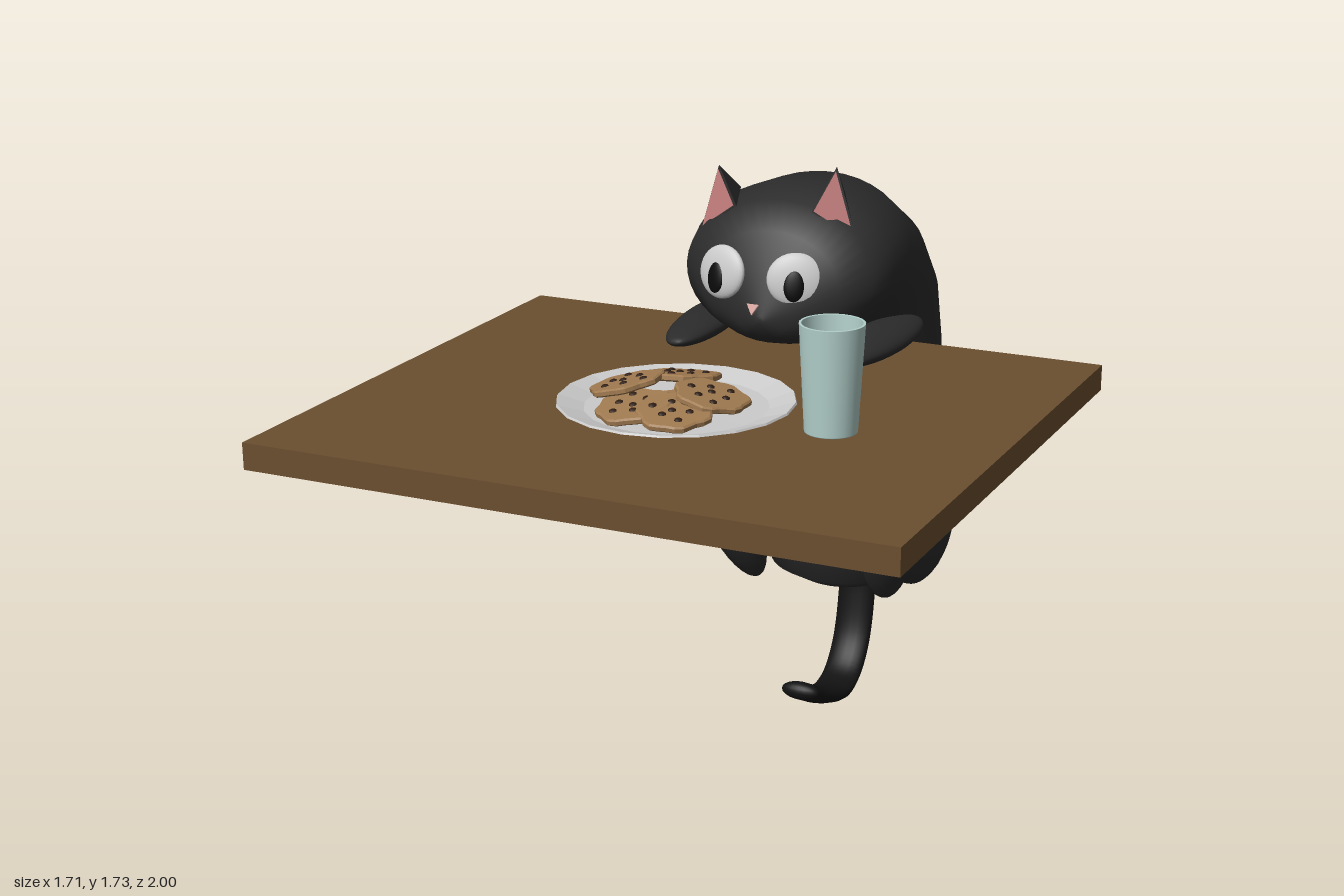
import * as THREE from 'three';

const mat = (color, extra = {}) => new THREE.MeshStandardMaterial({ color, ...extra });
const V = (x, y, z) => new THREE.Vector3(x, y, z);

const fur = mat(0x2b2b2b), tailFur = mat(0x121212), wood = mat(0x6b4f30), black = mat(0x0a0a0a);
const white = mat(0xd0d0d0), pink = mat(0xc07a7a, { side: THREE.DoubleSide }), nosePink = mat(0xdca6a0);
const china = mat(0xcccccc, { flatShading: true, side: THREE.DoubleSide });
const glassMat = mat(0xb3d0cb, { side: THREE.DoubleSide });
const dough = mat(0xa07a50, { flatShading: true }), chocolate = mat(0x2e1c12);

function add(parent, name, geometry, material, pos) {
  const m = new THREE.Mesh(geometry, material);
  m.name = name;
  if (pos) m.position.copy(pos);
  parent.add(m);
  return m;
}

// Ellipsoid stretched between two points
function spindle(parent, name, a, b, rx, rz, material = fur) {
  const m = add(parent, name, new THREE.SphereGeometry(1, 28, 18), material, a.clone().add(b).multiplyScalar(0.5));
  const d = b.clone().sub(a);
  m.scale.set(rx, d.length() / 2, rz);
  m.quaternion.setFromUnitVectors(V(0, 1, 0), d.normalize());
  return m;
}

// Loft of elliptical rings: [back z, back y, front z, front y, half width]
function loft(rings, cx, sides = 40) {
  const pos = [], idx = [];
  rings.forEach(([bz, by, fz, fy, w], i) => {
    for (let j = 0; j < sides; j++) {
      const a = (j / sides) * Math.PI * 2, c = Math.cos(a) / 2;
      pos.push(cx + w * Math.sin(a), (by + fy) / 2 + (fy - by) * c, (bz + fz) / 2 + (fz - bz) * c);
      if (i === rings.length - 1) continue;
      const k = (j + 1) % sides, p = i * sides, q = p + sides;
      idx.push(p + j, p + k, q + j, p + k, q + k, q + j);
    }
  });
  const g = new THREE.BufferGeometry();
  g.setAttribute('position', new THREE.Float32BufferAttribute(pos, 3));
  g.setIndex(idx);
  g.computeVertexNormals();
  return g;
}

function triangles(...corners) {
  const g = new THREE.BufferGeometry().setFromPoints(corners);
  g.computeVertexNormals();
  return g;
}

// Pyramid ear with an inset pink front
function ear(parent, name, outer, inner, back, tip) {
  const g = new THREE.Group();
  g.name = name;
  parent.add(g);
  const shell = mat(0x2b2b2b, { side: THREE.DoubleSide });
  add(g, 'earShell', triangles(outer, inner, tip, inner, back, tip, back, outer, tip), shell);
  const mid = outer.clone().add(inner).add(tip).divideScalar(3);
  const inset = [outer, inner, tip].map(p => p.clone().lerp(mid, 0.12).add(V(0, 0.002, 0.006)));
  add(g, 'innerEar', triangles(...inset), pink);
}

function createCat() {
  const cat = new THREE.Group();
  cat.name = 'cat';

  // Body and head, from rump to muzzle
  add(cat, 'body', loft([
    [-0.761, 0.385, -0.759, 0.385, 0.001], [-0.87, 0.4, -0.66, 0.39, 0.13],
    [-0.95, 0.46, -0.59, 0.43, 0.22], [-0.985, 0.6, -0.55, 0.58, 0.275],
    [-0.998, 0.8, -0.555, 0.8, 0.29], [-0.995, 1.0, -0.555, 0.97, 0.29],
    [-0.985, 1.17, -0.515, 1.1, 0.29], [-0.92, 1.39, -0.5, 1.2, 0.29],
    [-0.8, 1.55, -0.42, 1.235, 0.29], [-0.62, 1.65, -0.36, 1.245, 0.295],
    [-0.42, 1.665, -0.31, 1.25, 0.3], [-0.3, 1.635, -0.25, 1.25, 0.275],
    [-0.235, 1.565, -0.2, 1.265, 0.2], [-0.185, 1.46, -0.16, 1.29, 0.09],
    [-0.15, 1.35, -0.148, 1.33, 0.01], [-0.149, 1.341, -0.149, 1.339, 0.0005],
  ], 0.008), fur);

  // Ears
  ear(cat, 'rightEar', V(-0.235, 1.53, -0.3), V(-0.12, 1.61, -0.28), V(-0.17, 1.63, -0.42), V(-0.19, 1.71, -0.32));
  ear(cat, 'leftEar', V(0.22, 1.54, -0.31), V(0.1, 1.615, -0.28), V(0.14, 1.64, -0.42), V(0.155, 1.735, -0.32));

  // Eyes: flattened discs turned outward, each with a pupil
  for (const [side, x] of [[-1, -0.125], [1, 0.092]]) {
    const eye = new THREE.Group();
    eye.name = side < 0 ? 'rightEye' : 'leftEye';
    eye.position.set(x, 1.447, -0.2);
    eye.rotation.set(-0.2, side * 0.35, 0);
    cat.add(eye);
    add(eye, 'eyeball', new THREE.SphereGeometry(1, 28, 16), white).scale.set(0.08, 0.073, 0.024);
    add(eye, 'pupil', new THREE.SphereGeometry(1, 20, 12), black, V(-0.004, -0.016, 0.02)).scale.set(0.028, 0.042, 0.009);
  }

  // Nose: small triangle pointing down
  const nose = add(cat, 'nose', new THREE.CylinderGeometry(0.02, 0.02, 0.02, 3), nosePink, V(-0.015, 1.368, -0.16));
  nose.rotation.set(Math.PI / 2 - 0.3, 0, 0);

  // Limbs
  for (const s of [-1, 1]) {
    const side = s < 0 ? 'right' : 'left';
    spindle(cat, side + 'Arm', V(s * 0.235, 1.25, -0.13), V(s * 0.275, 1.255, -0.63), 0.078, 0.036);
    spindle(cat, side + 'Haunch', V(s * 0.255, 0.42, -0.75), V(s * 0.265, 0.82, -0.735), 0.085, 0.2);
    spindle(cat, side + 'Foot', V(s * 0.2, 0.41, -0.605), V(s * 0.305, 0.895, -0.4), 0.085, 0.06);
  }

  // Tail: flattened tube curling forward
  const tail = new THREE.Group();
  tail.name = 'tail';
  tail.scale.x = 2.2;
  cat.add(tail);
  const path = new THREE.CatmullRomCurve3([[0.6, -0.935], [0.45, -0.925], [0.28, -0.912], [0.13, -0.87],
    [0.05, -0.8], [0.027, -0.72], [0.06, -0.6], [0.122, -0.475]].map(([y, z]) => V(0, y, z)));
  add(tail, 'tailTube', new THREE.TubeGeometry(path, 48, 0.027, 16), tailFur);
  add(tail, 'tailTip', new THREE.SphereGeometry(0.027, 16, 12), tailFur, V(0, 0.122, -0.475));
  return cat;
}

// Cookie with a wavy edge and chocolate chips
function cookie(parent, x, y, z, tiltX, tiltZ, turn) {
  const g = new THREE.Group();
  g.name = 'cookie';
  const outline = [];
  for (let i = 0; i < 28; i++) {
    const a = (i / 28) * Math.PI * 2, r = 0.09 + 0.005 * Math.sin(a * 7 + turn) + 0.003 * Math.sin(a * 3);
    outline.push(new THREE.Vector2(r * Math.cos(a), r * Math.sin(a)));
  }
  const disc = new THREE.ExtrudeGeometry(new THREE.Shape(outline), { depth: 0.01, bevelSize: 0.005, bevelThickness: 0.004, bevelSegments: 1 });
  disc.rotateX(-Math.PI / 2);
  add(g, 'biscuit', disc, dough);
  for (let i = 0; i < 7; i++) {
    const a = turn + i * 1.05, r = i === 6 ? 0.008 : i % 2 ? 0.058 : 0.04;
    add(g, 'chip', new THREE.SphereGeometry(0.011, 8, 6), chocolate, V(r * Math.cos(a), 0.013, r * Math.sin(a))).scale.y = 0.6;
  }
  g.position.set(x, y, z);
  g.rotation.set(tiltX, 0, tiltZ);
  parent.add(g);
}

const lathe = (points, sides) => new THREE.LatheGeometry(points.map(p => new THREE.Vector2(...p)), sides);

export function createModel() {
  const model = new THREE.Group();
  model.name = 'catAtTable';

  add(model, 'tableTop', new THREE.BoxGeometry(1.71, 0.07, 1.5), wood, V(0, 1.19, 0.25));
  model.add(createCat());

  // Plate
  add(model, 'plate', lathe([[0, 0.002], [0.2, 0.002], [0.305, 0.033], [0.302, 0.038], [0.235, 0.018], [0, 0.014]], 20),
    china, V(0, 1.225, 0.345));

  // Cookies leaning on the one in the middle
  const cookies = new THREE.Group();
  cookies.name = 'cookies';
  model.add(cookies);
  cookie(cookies, 0.0, 1.246, 0.36, 0, 0, 0.4);
  cookie(cookies, -0.06, 1.262, 0.465, 0.16, 0.08, 1.1);
  cookie(cookies, 0.055, 1.264, 0.47, 0.16, -0.08, 2.0);
  cookie(cookies, -0.035, 1.282, 0.235, -0.2, 0.05, 2.7);
  cookie(cookies, -0.135, 1.282, 0.355, 0, 0.25, 3.3);
  cookie(cookies, 0.1, 1.278, 0.355, 0, -0.2, 4.2);

  // Tumbler: outer wall, rim, inner wall and floor
  add(model, 'glass', lathe([[0, 0], [0.067, 0], [0.067, 0.002], [0.082, 0.275], [0.082, 0.276], [0.076, 0.276],
    [0.076, 0.275], [0.063, 0.02], [0.062, 0.018], [0, 0.018]], 28), glassMat, V(0.41, 1.225, 0.32));

  return model;
}
